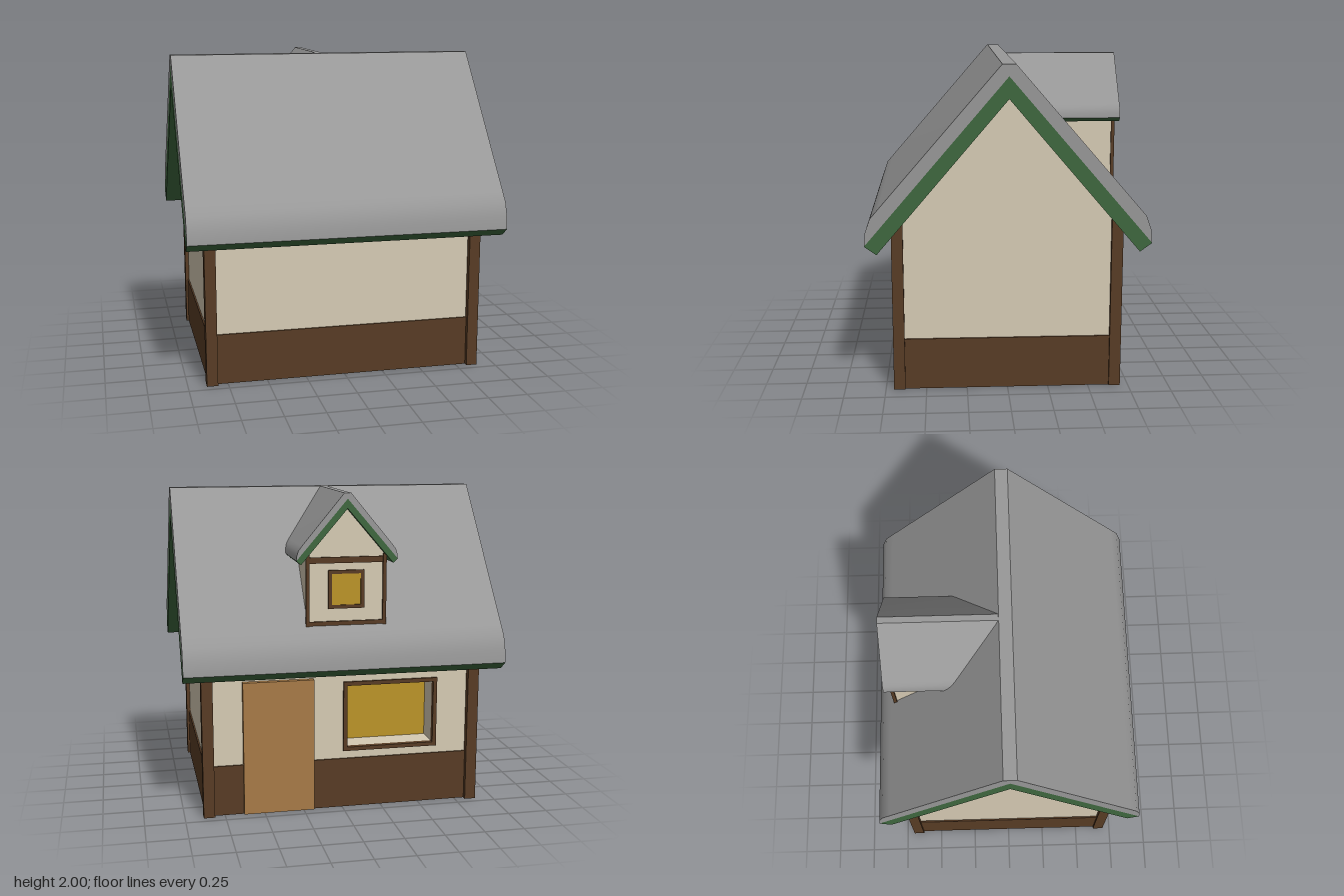
import * as THREE from 'three';
import { toCreasedNormals } from 'three/addons/utils/BufferGeometryUtils.js';

const mat = (name, color) => {
  const m = new THREE.MeshStandardMaterial({ color });
  m.name = name;
  return m;
};

export function createModel() {
  const slate = mat('slate grey', 0x989898);
  const green = mat('trim green', 0x3f683f);
  const cream = mat('plaster cream', 0xd6cbb4);
  const brown = mat('timber brown', 0x583c25);
  const tan = mat('door tan', 0xa87b47);
  const yellow = mat('window yellow', 0xbc9428);

  const house = new THREE.Group();
  house.name = 'house';

  const add = (parent, name, geo, material) => {
    const mesh = new THREE.Mesh(geo, material);
    mesh.name = name;
    parent.add(mesh);
    return mesh;
  };
  // box given by its lower and upper corners
  const box = (parent, name, material, [x0, y0, z0], [x1, y1, z1]) =>
    add(parent, name, new THREE.BoxGeometry(x1 - x0, y1 - y0, z1 - z0), material)
      .position.set((x0 + x1) / 2, (y0 + y1) / 2, (z0 + z1) / 2);
  const shapeOf = (pts) => new THREE.Shape(pts.map(([x, y]) => new THREE.Vector2(x, y)));
  const extrude = (shape, from, to) =>
    new THREE.ExtrudeGeometry(shape, { depth: to - from, bevelEnabled: false }).translate(0, 0, from);
  const rect = (x0, y0, x1, y1) => [[x0, y0], [x1, y0], [x1, y1], [x0, y1]];
  // rectangular window frame in the xy plane
  const frame = (parent, name, x0, y0, x1, y1, t, z0, z1) => {
    const s = shapeOf(rect(x0, y0, x1, y1));
    s.holes.push(shapeOf(rect(x0 + t, y0 + t, x1 - t, y1 - t)));
    add(parent, name, extrude(s, z0, z1), brown);
  };
  // symmetric roof layer: right half of the outer line, then of the inner line
  const chevron = (outer, inner) => {
    const flip = (pts) => pts.map(([x, y]) => [-x, y]);
    const mid = inner[inner.length - 1];
    const half = inner.slice(0, -1);
    return shapeOf([...outer, ...half, mid, ...flip(half).reverse(), ...flip(outer).reverse()]);
  };

  // ---- main roof: slate layer over a green layer
  const roof = new THREE.Group();
  roof.name = 'mainRoof';
  house.add(roof);
  const slateShape = chevron(
    [[0.04, 2], [0.765, 1.163], [0.815, 1.105], [0.845, 1.02], [0.852, 0.94]], [[0, 1.93]]);
  const greenShape = chevron([[0, 1.93], [0.852, 0.94]].slice(1), [[0.78, 0.888], [0, 1.8]]);
  // close the green layer along the slate's underside
  const greenPts = greenShape.getPoints();
  greenPts.push(new THREE.Vector2(0, 1.93));
  const along = (shape) => extrude(shape, -1, 1).rotateY(Math.PI / 2);
  add(roof, 'roofSlates', toCreasedNormals(along(slateShape), 0.5), slate);
  add(roof, 'roofTrim', along(new THREE.Shape(greenPts)), green);

  // ---- gable walls and their timber bases
  const gable = shapeOf([[-0.66, 0.3], [0.66, 0.3], [0.66, 1.06], [0, 1.83], [-0.66, 1.06]]);
  for (const s of [-1, 1]) {
    const [a, b] = s > 0 ? [0.83, 0.86] : [-0.86, -0.83];
    add(house, 'gableWall', extrude(gable, a, b).rotateY(Math.PI / 2), cream);
    const [c, d] = s > 0 ? [0.825, 0.87] : [-0.87, -0.825];
    box(house, 'gableBase', brown, [c, 0, -0.66], [d, 0.32, 0.66]);
  }

  // ---- front wall, back wall with window opening, bases
  const win = { x0: -0.617, y0: 0.37, x1: -0.007, y1: 0.82, t: 0.025 };
  box(house, 'frontWall', cream, [-0.84, 0.3, 0.63], [0.84, 1.04, 0.66]);
  const back = shapeOf(rect(-0.84, 0.3, 0.84, 1.04));
  back.holes.push(shapeOf(rect(win.x0 + 0.01, win.y0 + 0.01, win.x1 - 0.01, win.y1 - 0.01)));
  add(house, 'backWall', extrude(back, -0.66, -0.63), cream);
  box(house, 'frontBase', brown, [-0.84, 0, 0.625], [0.84, 0.32, 0.67]);
  box(house, 'backBase', brown, [-0.84, 0, -0.67], [0.84, 0.32, -0.625]);

  // ---- corner posts
  for (const x of [-0.85, 0.85])
    for (const z of [-0.665, 0.665])
      box(house, 'cornerPost', brown, [x - 0.035, 0, z - 0.035], [x + 0.035, 1.07, z + 0.035]);

  // ---- door
  box(house, 'door', tan, [0.185, 0.004, -0.695], [0.63, 0.85, -0.655]);

  // ---- deep window: frame, reveal and glowing panel behind
  const { x0, y0, x1, y1, t } = win;
  frame(house, 'windowFrame', x0, y0, x1, y1, t, -0.675, -0.64);
  const reveal = shapeOf(rect(x0, y0, x1, y1));
  reveal.holes.push(shapeOf(rect(x0 + t, y0 + t, x1 - t, y1 - t)));
  add(house, 'windowReveal', extrude(reveal, -0.64, -0.49), cream);
  box(house, 'windowPanel', yellow, [-0.63, 0.045, -0.49], [0.47, 0.92, -0.482]);

  // ---- dormer
  const dormer = new THREE.Group();
  dormer.name = 'dormer';
  dormer.position.x = -0.007;
  house.add(dormer);

  // the inner end of each roof layer follows the main roof slope
  const dormerLayer = (shape) => {
    const g = extrude(shape, -0.762, 0);
    const p = g.attributes.position;
    for (let i = 0; i < p.count; i++)
      if (p.getZ(i) > -0.1) p.setZ(i, -0.042 - ((2 - p.getY(i)) / 1.165) * 0.92);
    g.computeVertexNormals();
    return g;
  };
  const dSlate = chevron([[0.02, 2], [0.28, 1.687], [0.3, 1.66], [0.31, 1.63], [0.313, 1.6]], [[0, 1.965]]);
  const dGreen = chevron([[0.313, 1.6]], [[0.285, 1.575], [0, 1.907]]).getPoints();
  dGreen.push(new THREE.Vector2(0, 1.965));
  add(dormer, 'dormerSlates', toCreasedNormals(dormerLayer(dSlate), 0.5), slate);
  add(dormer, 'dormerTrim', dormerLayer(new THREE.Shape(dGreen)), green);

  // front gable wall
  const dWall = shapeOf([[-0.24, 1.19], [0.24, 1.19], [0.24, 1.64], [0, 1.92], [-0.24, 1.64]]);
  add(dormer, 'dormerFront', extrude(dWall, -0.725, -0.7), cream);
  // side walls, cut to the main roof slope
  const cheek = shapeOf([[0.71, 1.19], [0.71, 1.64], [0.3, 1.64], [0.66, 1.19]]);
  for (const s of [-1, 1]) {
    const g = extrude(cheek, -0.01, 0.01).rotateY(Math.PI / 2);
    add(dormer, 'dormerSide', g, cream).position.x = s * 0.23;
    // corner posts
    box(dormer, 'dormerPost', brown, [s * 0.239 - 0.011, 1.175, -0.738], [s * 0.239 + 0.011, 1.63, -0.716]);
  }
  // cross beams
  box(dormer, 'dormerSill', brown, [-0.25, 1.175, -0.736], [0.25, 1.222, -0.7]);
  box(dormer, 'dormerBeam', brown, [-0.25, 1.578, -0.736], [0.25, 1.615, -0.716]);
  // small window
  frame(dormer, 'dormerWindowFrame', -0.112, 1.3, 0.112, 1.535, 0.022, -0.737, -0.72);
  box(dormer, 'dormerPane', yellow, [-0.095, 1.315, -0.73], [0.095, 1.52, -0.722]);

  return house;
}
